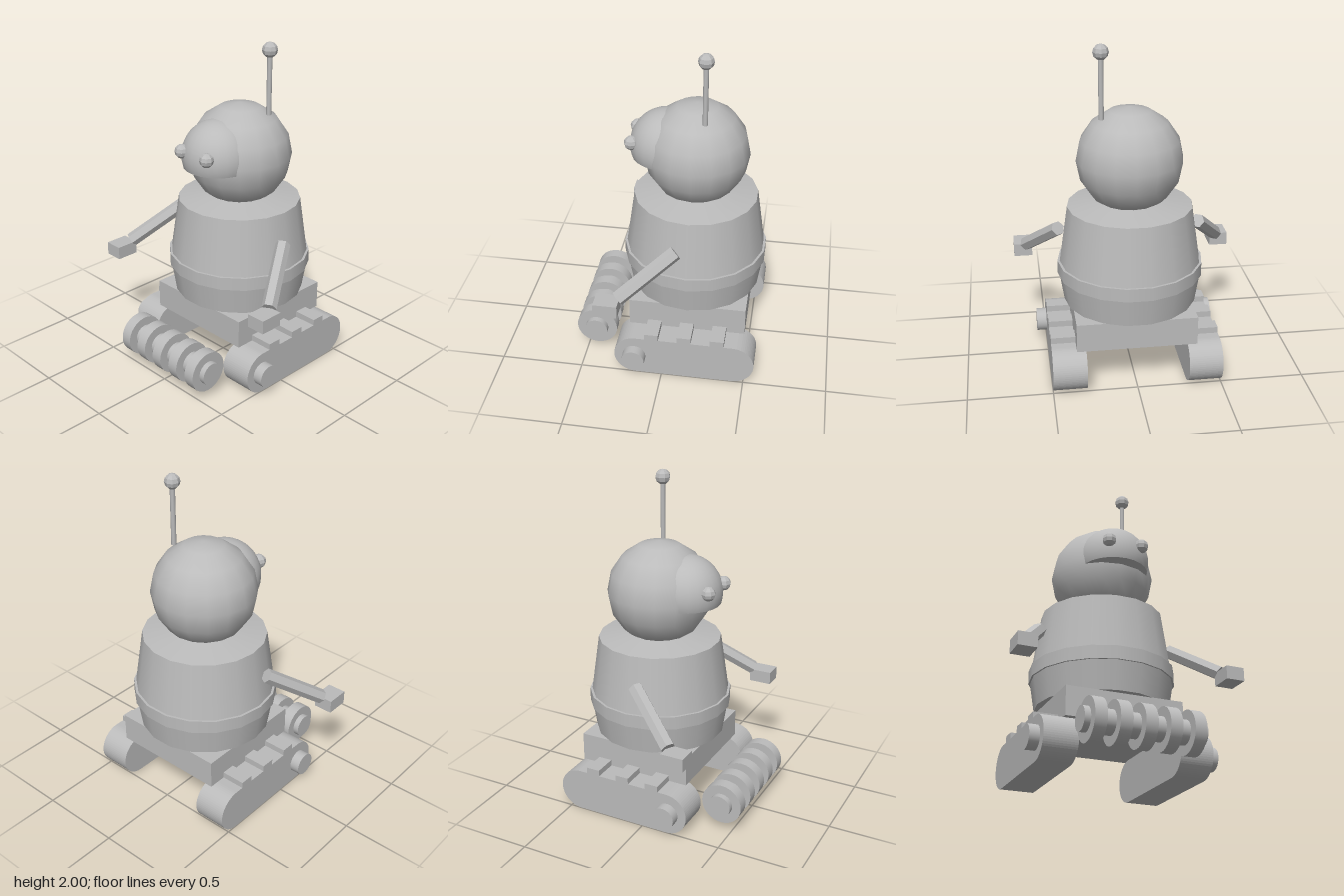
import * as THREE from 'three';

export function createModel() {
  const root = new THREE.Group();
  root.name = 'robot';
  const grey = new THREE.MeshStandardMaterial({ color: 0xbbbbbb });
  grey.name = 'grey';

  function add(name, geo, x = 0, y = 0, z = 0) {
    const m = new THREE.Mesh(geo, grey);
    m.name = name;
    m.position.set(x, y, z);
    root.add(m);
    return m;
  }
  // Faceted copy of a geometry, for the small low-poly parts
  function faceted(geo) {
    const g = geo.toNonIndexed();
    g.computeVertexNormals();
    return g;
  }
  const box = (name, x0, x1, y0, y1, z0, z1) => add(name,
    new THREE.BoxGeometry(x1 - x0, y1 - y0, z1 - z0), (x0 + x1) / 2, (y0 + y1) / 2, (z0 + z1) / 2);
  const discX = (name, r, len, x, y, z) =>
    add(name, new THREE.CylinderGeometry(r, r, len, 32).rotateZ(Math.PI / 2), x, y, z);

  // Torso: stacked frusta with crisp edges, 18 sides
  const bodyZ = -0.137;
  const frustum = (name, r0, y0, r1, y1, open) => add(name,
    new THREE.CylinderGeometry(r1, r0, y1 - y0, 18, 1, open).rotateY(Math.PI / 2), 0, (y0 + y1) / 2, bodyZ);
  frustum('lowerTorso', 0.397, 0.433, 0.424, 0.605, false);
  frustum('belt', 0.434, 0.605, 0.434, 0.685, false);
  frustum('upperTorso', 0.42, 0.685, 0.37, 1.03, true);
  frustum('shoulderCap', 0.37, 1.03, 0.17, 1.062, false);

  // Head with a flat-bottomed face dome
  add('head', new THREE.SphereGeometry(0.313, 16, 8), 0, 1.31, bodyZ);
  const domeR = 0.217, cut = 0.065;
  add('faceDome', new THREE.SphereGeometry(domeR, 24, 12, 0, Math.PI * 2, 0, Math.acos(-cut / domeR)), 0, 1.34, 0.04);
  add('faceDomeBase', new THREE.CircleGeometry(Math.sqrt(domeR ** 2 - cut ** 2), 24).rotateX(Math.PI / 2), 0, 1.34 - cut, 0.04);

  // Antenna
  add('antennaRod', new THREE.CylinderGeometry(0.015, 0.015, 0.38, 8), 0.17, 1.76, -0.202);
  add('antennaBall', faceted(new THREE.SphereGeometry(0.046, 8, 6)), 0.17, 1.954, -0.202);

  // Chassis
  box('chassis', -0.355, 0.355, 0.26, 0.434, -0.488, 0.218);

  // Track outline: a stadium in the z-y plane, extruded across x
  const r = 0.13, zFront = 0.16, zBack = -0.43;
  const track = new THREE.Shape();
  track.moveTo(-zFront, 0);
  track.lineTo(-zBack, 0);
  track.absarc(-zBack, r, r, -Math.PI / 2, Math.PI / 2, false);
  track.lineTo(-zFront, 2 * r);
  track.absarc(-zFront, r, r, Math.PI / 2, Math.PI * 1.5, false);

  for (const s of [1, -1]) {
    const side = s > 0 ? 'left' : 'right';
    // Eyes
    add(side + 'Eye', faceted(new THREE.SphereGeometry(0.043, 8, 6)), s * 0.104, 1.385, 0.232);

    // Tracks, cleats and hubs
    const t = new THREE.ExtrudeGeometry(track, { depth: 0.2, bevelEnabled: false, curveSegments: 16 });
    t.translate(0, 0, -0.1).rotateY(Math.PI / 2);
    add(side + 'Track', t, s * 0.4, 0, 0);
    for (const z of [0.062, -0.136, -0.335]) {
      add(side + 'Cleat', new THREE.BoxGeometry(0.2, 0.045, 0.084), s * 0.4, 0.275, z);
    }
    discX(side + 'Hub', 0.07, 0.08, s * 0.52, 0.13, 0.167);

    // Arm between shoulder and hand
    const a = new THREE.Vector3(s * 0.422, 0.868, -0.075);
    const b = new THREE.Vector3(s * 0.605, 0.64, 0.232);
    const dir = b.clone().sub(a);
    const arm = add(side + 'Arm', faceted(new THREE.CylinderGeometry(0.044, 0.044, dir.length(), 6)));
    arm.position.copy(a).lerp(b, 0.5);
    arm.quaternion.setFromUnitVectors(new THREE.Vector3(0, 1, 0), dir.normalize());
    add(side + 'Hand', new THREE.BoxGeometry(0.113, 0.08, 0.14), s * 0.627, 0.6, 0.293);
  }

  // Front roller with five discs
  const rollerY = 0.173, rollerZ = 0.434;
  discX('rollerAxle', 0.07, 0.71, 0, rollerY, rollerZ);
  for (let i = -2; i <= 2; i++) discX('rollerDisc', 0.125, 0.07, i * 0.1425, rollerY, rollerZ);

  return root;
}
